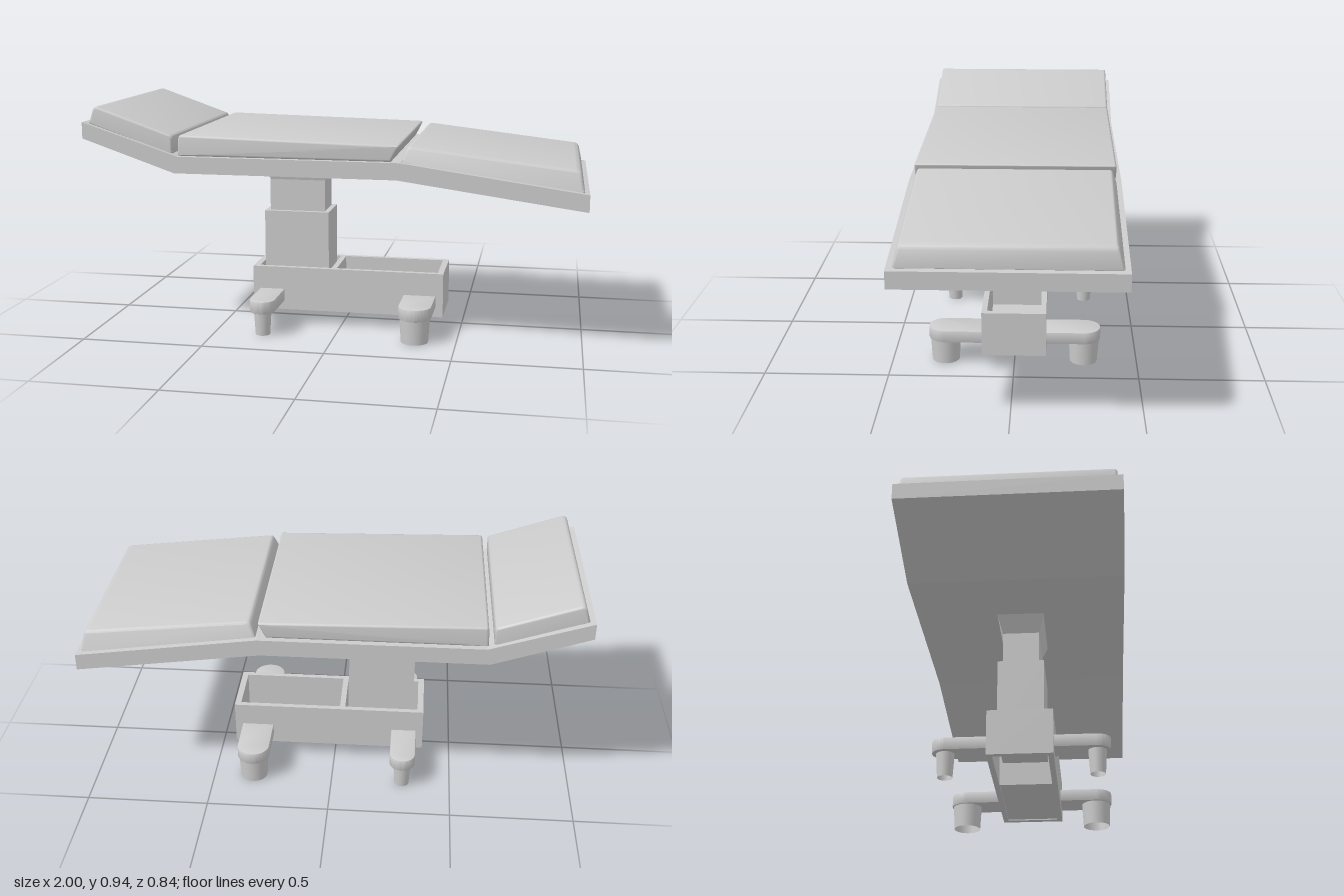
import * as THREE from 'three';
import { toCreasedNormals } from 'three/addons/utils/BufferGeometryUtils.js';

const material = new THREE.MeshStandardMaterial({ color: 0xcccccc });
const openMaterial = new THREE.MeshStandardMaterial({ color: 0xcccccc, side: THREE.DoubleSide });

export function createModel() {
  const model = new THREE.Group();

  const add = (name, geometry, parent = model, mat = material) => {
    const mesh = new THREE.Mesh(geometry, mat);
    mesh.name = name;
    parent.add(mesh);
    return mesh;
  };

  // Box given by its limits on each axis
  const box = (name, [x0, x1], [y0, y1], [z0, z1], parent) =>
    add(name, new THREE.BoxGeometry(x1 - x0, y1 - y0, z1 - z0), parent)
      .position.set((x0 + x1) / 2, (y0 + y1) / 2, (z0 + z1) / 2);

  // Closed outline with each corner rounded by its own radius [x, y, r]
  const roundedShape = (corners) => {
    const shape = new THREE.Shape();
    const n = corners.length;
    corners.forEach(([x, y, r], i) => {
      const p = new THREE.Vector2(x, y);
      const toward = (c) => new THREE.Vector2(c[0], c[1]).sub(p).setLength(r).add(p);
      const a = toward(corners[(i + n - 1) % n]);
      const b = toward(corners[(i + 1) % n]);
      if (i === 0) shape.moveTo(a.x, a.y);
      else shape.lineTo(a.x, a.y);
      shape.quadraticCurveTo(x, y, b.x, b.y);
    });
    shape.closePath();
    return shape;
  };

  // Bent table frame
  const frameShape = new THREE.Shape([
    [-1, 0.815], [-0.62, 0.685], [0.27, 0.685], [1, 0.585],
    [1, 0.652], [0.28, 0.752], [-0.605, 0.752], [-1, 0.88],
  ].map(([x, y]) => new THREE.Vector2(x, y)));
  const frame = new THREE.ExtrudeGeometry(frameShape, { depth: 0.84, bevelEnabled: false });
  add('tableFrame', frame.translate(0, 0, -0.42));

  // Cushions: side profile, softened edges, optional narrowing toward the top
  const cushion = (name, corners, halfDepth, narrow = 0) => {
    const bevel = 0.01;
    let geometry = new THREE.ExtrudeGeometry(roundedShape(corners), {
      depth: 2 * (halfDepth - bevel), bevelSize: bevel, bevelThickness: bevel,
      bevelOffset: -bevel, bevelSegments: 3, curveSegments: 5,
    }).translate(0, 0, bevel - halfDepth);
    const pos = geometry.attributes.position;
    const [a, b] = corners;
    for (let i = 0; i < pos.count; i++) {
      const base = a[1] + ((b[1] - a[1]) * (pos.getX(i) - a[0])) / (b[0] - a[0]);
      const rise = Math.max(0, pos.getY(i) - base) / 0.08;
      pos.setZ(i, pos.getZ(i) * (1 - narrow * rise));
    }
    add(name, toCreasedNormals(geometry, 0.6));
  };
  cushion('headCushion',
    [[-0.98, 0.873, 0.004], [-0.632, 0.759, 0.004], [-0.63, 0.832, 0.012], [-0.957, 0.946, 0.02]], 0.4);
  cushion('bodyCushion',
    [[-0.612, 0.751, 0.004], [0.245, 0.751, 0.004], [0.278, 0.816, 0.012], [-0.607, 0.836, 0.015]], 0.4);
  cushion('legCushion',
    [[0.284, 0.751, 0.004], [0.982, 0.655, 0.004], [0.965, 0.738, 0.02], [0.308, 0.812, 0.015]], 0.4, 0.06);

  // Telescopic column
  box('lowerColumn', [-0.335, -0.06], [0.15, 0.48], [-0.093, 0.093]);
  box('upperColumn', [-0.315, -0.08], [0.48, 0.615], [-0.073, 0.073]);

  // Flared mount: a box whose top face is widened
  const mount = new THREE.BoxGeometry(0.235, 0.075, 0.146);
  const mp = mount.attributes.position;
  for (let i = 0; i < mp.count; i++) {
    if (mp.getY(i) > 0) mp.setXYZ(i, mp.getX(i) * 1.34, mp.getY(i), mp.getZ(i) * 1.3);
  }
  mount.computeVertexNormals();
  add('columnMount', mount).position.set(-0.195, 0.65, 0);

  // Base housing: walls, divider and a floor under the open tray
  const base = new THREE.Group();
  base.name = 'baseHousing';
  model.add(base);
  const height = [0.06, 0.245];
  for (const s of [-1, 1]) {
    const z = [s * 0.13, s * 0.108].sort((a, b) => a - b);
    box('sideWall', [-0.38, 0.43], height, z, base);
  }
  box('headEndWall', [-0.38, -0.355], height, [-0.108, 0.108], base);
  box('footEndWall', [0.405, 0.43], height, [-0.108, 0.108], base);
  box('divider', [-0.045, -0.022], height, [-0.108, 0.108], base);
  box('trayFloor', [-0.022, 0.405], [0.065, 0.085], [-0.108, 0.108], base);

  // Outrigger legs: round-ended arm with a hollow tapered foot
  const leg = (name, x, side, armR, footTop, footBottom, footY) => {
    const group = new THREE.Group();
    group.name = name;
    group.position.x = x;
    if (side < 0) group.rotation.y = Math.PI;
    const z = 0.35 - armR;
    const outline = new THREE.Shape();
    outline.moveTo(armR, -0.115);
    outline.lineTo(armR, -z);
    outline.absarc(0, -z, armR, 0, -Math.PI, true);
    outline.lineTo(-armR, -0.115);
    outline.closePath();
    const arm = new THREE.ExtrudeGeometry(outline, {
      depth: 0.043, curveSegments: 20, bevelSize: 0.004, bevelThickness: 0.004,
      bevelOffset: -0.004, bevelSegments: 2,
    });
    // shape's -y becomes +z
    arm.rotateX(-Math.PI / 2);
    add('arm', toCreasedNormals(arm, 0.6), group).position.y = 0.102;
    const foot = new THREE.CylinderGeometry(footTop, footBottom, footY, 28, 1, true);
    add('foot', foot, group, openMaterial).position.set(0, footY / 2, z);
    model.add(group);
  };
  for (const side of [1, -1]) {
    leg('headEndLeg', -0.298, side, 0.053, 0.037, 0.03, 0.11);
    leg('footEndLeg', 0.332, side, 0.067, 0.062, 0.056, 0.105);
  }

  return model;
}
